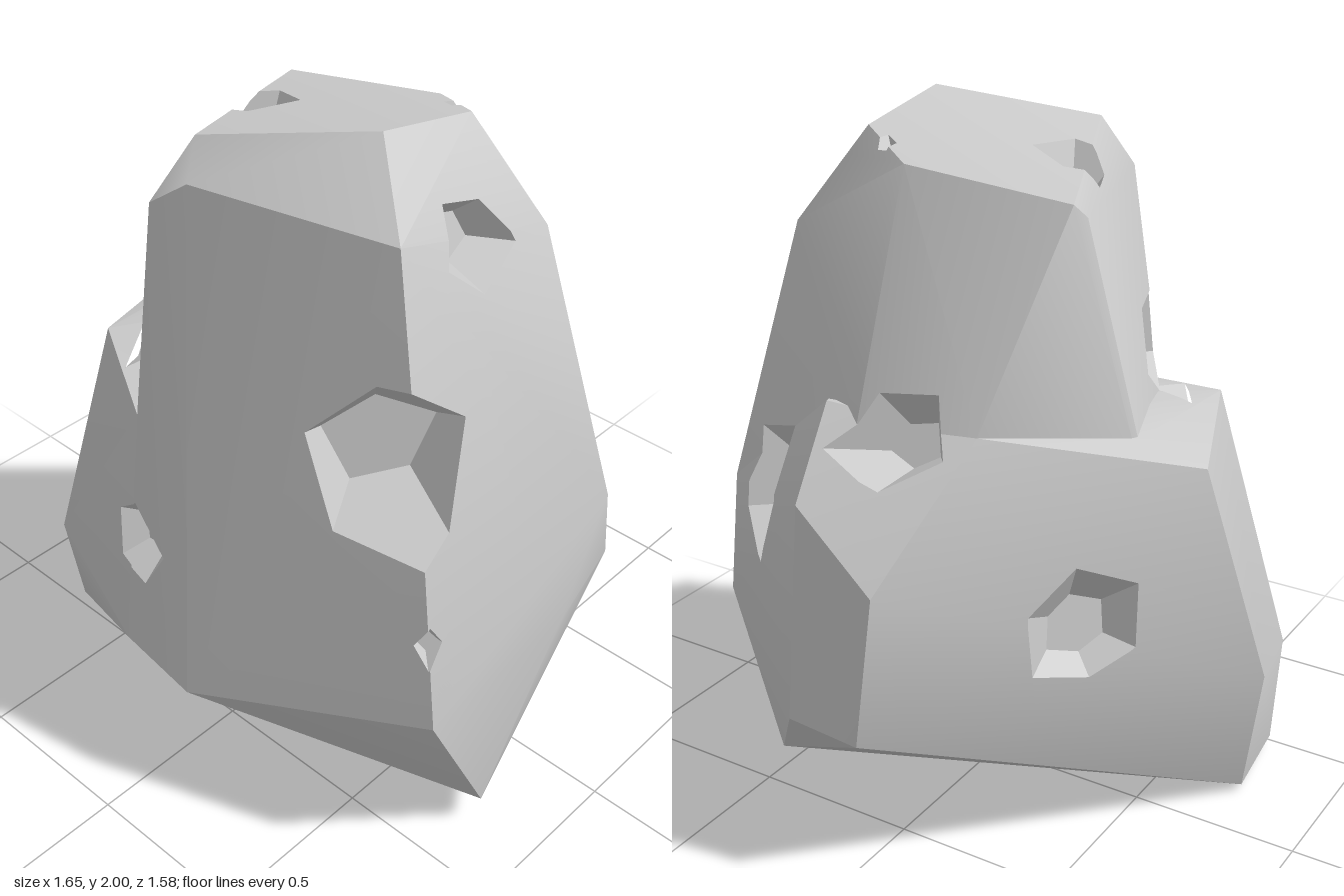
import * as THREE from 'three';
import { ConvexGeometry } from 'three/addons/geometries/ConvexGeometry.js';
import { toCreasedNormals } from 'three/addons/utils/BufferGeometryUtils.js';

const V = (x, y, z) => new THREE.Vector3(x, y, z);
const material = new THREE.MeshStandardMaterial({ color: 0xcccccc });

// Corners that both blocks share
const base = [
  [0.03, 0, 0.03], [0.82, 0.09, 0.31], [0.48, 0.06, 0.38], [0.35, 0.22, -0.6],
  [-0.22, 0.31, 0.7], [0.14, 0.4, 0.79], [0.82, 0.55, 0.54], [0.72, 0.53, -0.36], [0.78, 0.85, -0.24],
  [0.75, 1.01, 0.51], [0.82, 0.55, 0.0], [-0.22, 1.26, -0.44], [-0.2, 1.09, 0.61],
];
// Tall peak
const peak = [
  ...base, [0.35, 2, 0.24], [0.36, 1.94, -0.08], [0.16, 1.88, -0.2], [-0.32, 1.82, -0.13], [-0.34, 1.78, -0.09],
  [-0.08, 1.92, 0.45], [0.55, 1.83, 0.4], [-0.02, 1.84, 0.54], [-0.13, 1.76, 0.57], [0.56, 1.66, -0.16],
  [0.1, 0.9, -0.66], [-0.68, 0.35, 0.02],
];
// Broad lower block with the side shoulder and the back bulge
const shoulder = [
  ...base, [-0.75, 0.02, 0.2], [-0.72, 0.03, 0.48], [-0.66, 1.1, 0.03], [-0.49, 1.18, -0.05], [-0.5, 1.16, 0.45],
  [-0.83, 0.46, 0.12], [-0.72, 0.35, 0.53], [0.17, 1.08, -0.71], [0.24, 1.28, -0.47], [-0.1, 0.9, -0.76],
  [-0.06, 0.46, -0.79], [0.18, 0.46, -0.77],
];

// Pits: point near the surface, outward direction, radius, depth, sides, turn
const pits = [
  ['frontPit', [-0.19, 0.69, 0.68], [-0.1, 0.1, 1], 0.14, 0.09, 5, 0.3],
  ['upperSidePit', [0.5, 1.72, 0.12], [1, 0.25, 0], 0.14, 0.11, 5, 1.1],
  ['largeEdgePit', [0.56, 1.26, 0.46], [0.72, 0.12, 0.68], 0.28, 0.17, 5, 0.45],
  ['backSidePit', [0.52, 0.97, -0.46], [0.65, 0.3, -0.7], 0.22, 0.14, 5, 0.9],
  ['backPit', [-0.01, 1.24, -0.5], [0, 0.5, -0.85], 0.15, 0.11, 5, 0.4],
  ['rearPit', [-0.45, 0.69, -0.28], [-0.75, 0.2, -0.65], 0.18, 0.09, 6, 0.2],
  ['topPit', [-0.18, 1.87, 0.15], [-0.15, 1, 0], 0.12, 0.09, 5, 0.5],
  ['notchPit', [-0.31, 1.29, 0.38], [-0.85, 0.15, 0.52], 0.19, 0.1, 5, 0.7],
  ['topChip', [0.26, 1.9, -0.13], [0.2, 1, -0.3], 0.035, 0.03, 4, 0.2],
  ['edgeChip', [0.78, 0.8, 0.52], [0.8, 0.1, 0.6], 0.06, 0.04, 4, 0],
];

// Part of a convex polygon on one side of a plane; corners are { p, n }
function clip(poly, plane, side) {
  const out = [];
  poly.forEach((a, i) => {
    const b = poly[(i + 1) % poly.length];
    const da = plane.distanceToPoint(a.p) * side, db = plane.distanceToPoint(b.p) * side;
    if (da >= 0) out.push(a);
    if (da * db < 0) {
      const t = da / (da - db);
      out.push({ p: a.p.clone().lerp(b.p, t), n: a.n.clone().lerp(b.n, t).normalize() });
    }
  });
  return out.length > 2 ? out : [];
}
const inside = (poly, planes) => planes.reduce((r, pl) => (r.length ? clip(r, pl, -1) : r), poly);

// Pieces of a polygon left after removing a convex pit
function subtract(poly, planes) {
  if (!inside(poly, planes).length) return [poly];
  const kept = [];
  let rest = poly;
  for (const pl of planes) {
    const outer = clip(rest, pl, 1);
    if (outer.length) kept.push(outer);
    rest = clip(rest, pl, -1);
  }
  return kept;
}

function meshFrom(polys, name) {
  const pos = [], nor = [];
  for (const f of polys) {
    for (let i = 1; i < f.length - 1; i++) {
      for (const c of [f[0], f[i], f[i + 1]]) {
        pos.push(c.p.x, c.p.y, c.p.z);
        nor.push(c.n.x, c.n.y, c.n.z);
      }
    }
  }
  const g = new THREE.BufferGeometry();
  g.setAttribute('position', new THREE.Float32BufferAttribute(pos, 3));
  g.setAttribute('normal', new THREE.Float32BufferAttribute(nor, 3));
  const mesh = new THREE.Mesh(g, material);
  mesh.name = name;
  return mesh;
}

// Convex block as triangles with softened normals, plus its planes
function makeBlock(points) {
  const g = toCreasedNormals(new ConvexGeometry(points.map((p) => V(...p))), 0.5);
  const P = g.attributes.position, N = g.attributes.normal, polys = [], planes = [];
  for (let i = 0; i < P.count; i += 3) {
    const tri = [0, 1, 2].map((k) => ({
      p: V().fromBufferAttribute(P, i + k), n: V().fromBufferAttribute(N, i + k),
    }));
    polys.push(tri);
    planes.push(new THREE.Plane().setFromCoplanarPoints(tri[0].p, tri[1].p, tri[2].p));
  }
  return { polys, planes };
}

// Tapered pit: inward-facing floor and walls, plus the planes that bound it
function makePit([name, at, dir, radius, depth, sides, turn], blocks) {
  const n = V(...dir).normalize();
  const start = V(...at).addScaledVector(n, -0.3);
  // Mouth lies where the direction leaves the rock
  const reach = Math.max(...blocks.map((b) => Math.min(...b.planes.map((pl) => {
    const d = pl.normal.dot(n);
    return d > 1e-4 ? -pl.distanceToPoint(start) / d : Infinity;
  }))));
  const mouth = start.addScaledVector(n, reach);
  const centre = mouth.clone().addScaledVector(n, -depth / 2);
  const q = new THREE.Quaternion().setFromUnitVectors(V(0, 0, 1), n);
  const ring = (s, h) => Array.from({ length: sides }, (_, i) => {
    const a = turn + (i / sides) * Math.PI * 2;
    const r = radius * s * (1 + 0.15 * Math.sin(i * 2.3 + turn * 5));
    return V(Math.cos(a) * r, Math.sin(a) * r, h).applyQuaternion(q).add(mouth);
  });
  // The walls run on past the mouth so that uneven ground is cut cleanly
  const rim = radius * 0.4;
  const low = ring(0.5, -depth), high = ring(1 + (0.5 * rim) / depth, rim);
  const faces = [low];
  low.forEach((p, i) => {
    const j = (i + 1) % sides;
    faces.push([p, high[i], high[j], low[j]]);
  });
  const planes = [new THREE.Plane().setFromNormalAndCoplanarPoint(n, high[0])];
  const polys = faces.map((f) => {
    const pl = new THREE.Plane().setFromCoplanarPoints(f[0], f[1], f[2]);
    const facesIn = pl.distanceToPoint(centre) > 0;
    if (facesIn) pl.negate();
    planes.push(pl);
    const normal = pl.normal.clone().negate();
    return (facesIn ? f : [...f].reverse()).map((p) => ({ p, n: normal }));
  });
  return { name, planes, polys };
}

export function createModel() {
  const rock = new THREE.Group();
  rock.name = 'rock';
  const blocks = [makeBlock(peak), makeBlock(shoulder)];
  const holes = pits.map((p) => makePit(p, blocks));

  // Outer faces with the pits cut out
  blocks.forEach((b, i) => {
    let polys = b.polys;
    for (const h of holes) polys = polys.flatMap((f) => subtract(f, h.planes));
    rock.add(meshFrom(polys, ['rockPeak', 'rockShoulder'][i]));
  });

  // Pit linings, trimmed to the rock
  for (const h of holes) {
    const polys = blocks.flatMap((b) => h.polys.map((f) => inside(f, b.planes)).filter((f) => f.length));
    rock.add(meshFrom(polys, h.name));
  }
  return rock;
}
